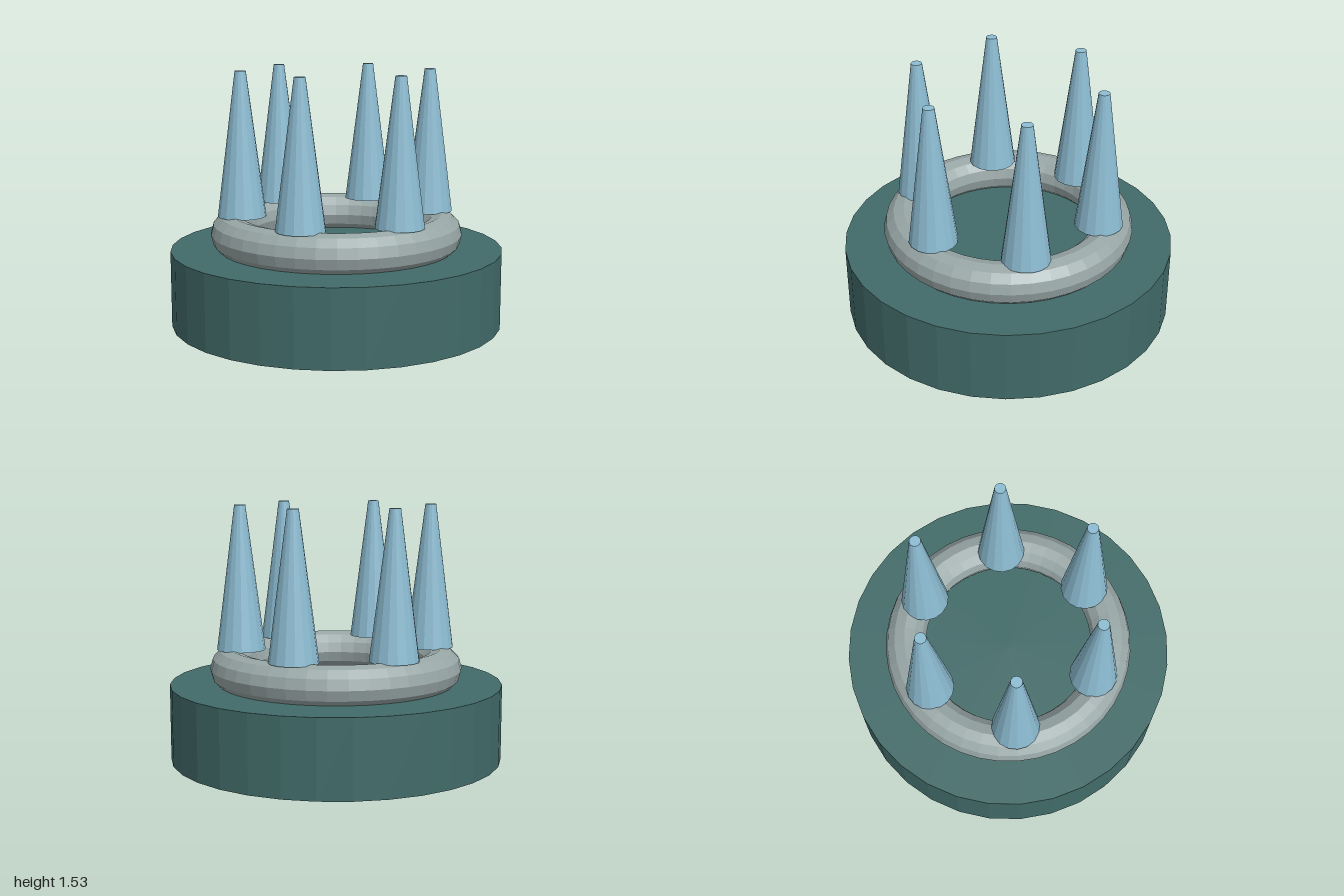
import * as THREE from 'three';

const flat = (name, color) => {
  const m = new THREE.MeshStandardMaterial({ color, flatShading: true });
  m.name = name;
  return m;
};

export function createModel() {
  const group = new THREE.Group();
  group.name = 'spikedPedestal';
  const teal = flat('darkTeal', 0x416b69);
  const grey = flat('stoneGrey', 0x98a6a6);
  const blue = flat('iceBlue', 0x8dbdd3);

  const add = (name, geometry, material, x, y, z) => {
    const mesh = new THREE.Mesh(geometry, material);
    mesh.name = name;
    mesh.position.set(x, y, z);
    group.add(mesh);
  };

  // Round base
  const baseHeight = 0.457;
  add('base', new THREE.CylinderGeometry(1, 1, baseHeight, 32), teal, 0, baseHeight / 2, 0);

  // Ring partly sunk into the base
  const ring = new THREE.TorusGeometry(0.635, 0.123, 12, 40).rotateX(-Math.PI / 2);
  add('ring', ring, grey, 0, 0.549, 0);

  // Six tapered spikes standing on the ring
  const bottom = 0.663, top = 1.527;
  const spike = new THREE.CylinderGeometry(0.033, 0.145, top - bottom, 16);
  for (let i = 0; i < 6; i++) {
    const a = (i * Math.PI) / 3;
    add('spike' + (i + 1), spike, blue, 0.57 * Math.cos(a), (top + bottom) / 2, 0.57 * Math.sin(a));
  }
  return group;
}
